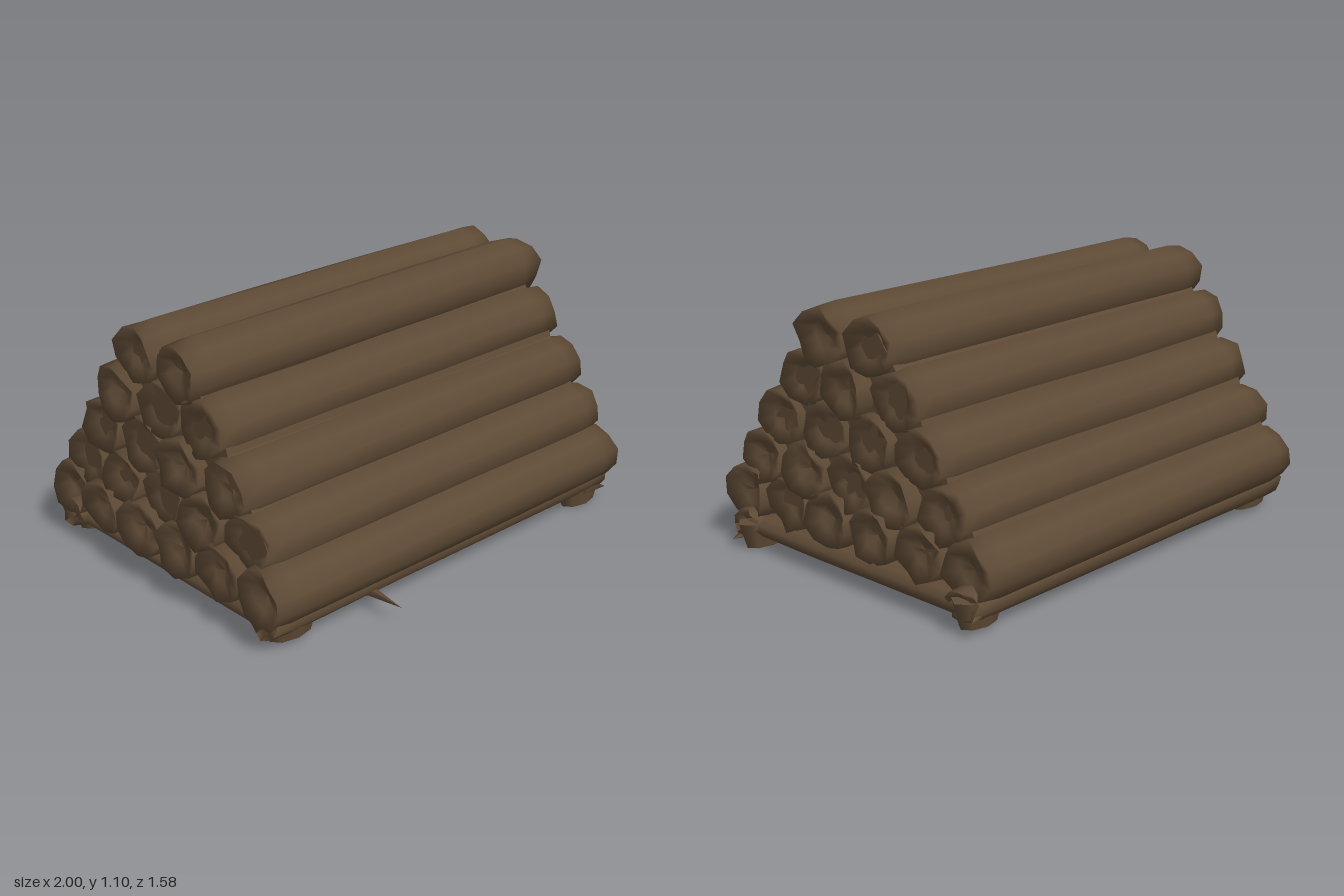
import * as THREE from 'three';

// Small seeded noise, so the bark is uneven but repeatable
let seed = 7;
const rand = () => (seed = (seed * 16807) % 2147483647) / 2147483647;
const jitter = (a) => (rand() * 2 - 1) * a;

const SIDES = 10;

// Rough timber along x from x0 to x1: uneven rings with hollowed, ragged ends
function timber(x0, x1, ry, rz, rough = 0.06, ragged = 0.02) {
  const L = x1 - x0;
  const rings = [ // [x, radius scale, ragged amount]
    [x0 + 0.05, 0, 0], [x0 + 0.035, 0.5, 0.7], [x0, 0.95, 1],
    [x0 + 0.09, 1, 0], [x0 + L * 0.35, 1, 0], [x0 + L * 0.68, 1, 0], [x1 - 0.09, 1, 0],
    [x1, 0.95, 1], [x1 - 0.035, 0.5, 0.7], [x1 - 0.05, 0, 0],
  ];
  // Bumps shared by all rings become lengthwise grooves
  const groove = Array.from({ length: SIDES }, () => 1 + jitter(rough * 0.6));
  const pos = [], index = [];
  rings.forEach(([x, s, r], i) => {
    for (let j = 0; j < SIDES; j++) {
      const a = (j / SIDES) * Math.PI * 2;
      const k = s * groove[j] * (1 + jitter(rough * 0.6));
      pos.push(x + jitter(ragged) * r, Math.cos(a) * ry * k, Math.sin(a) * rz * k);
      if (i < rings.length - 1) {
        const p = i * SIDES + j, q = i * SIDES + (j + 1) % SIDES;
        index.push(p, q, p + SIDES, q, q + SIDES, p + SIDES);
      }
    }
  });
  const g = new THREE.BufferGeometry();
  g.setAttribute('position', new THREE.Float32BufferAttribute(pos, 3));
  g.setIndex(index);
  g.computeVertexNormals();
  return g;
}

export function createModel() {
  const group = new THREE.Group();
  group.name = 'logPile';
  const wood = new THREE.MeshStandardMaterial({ color: 0x5e4a35 });
  wood.name = 'brown wood';

  const add = (name, geometry, x, y, z, turn = 0) => {
    const m = new THREE.Mesh(geometry, wood);
    m.name = name;
    m.position.set(x, y, z);
    m.rotation.y = turn;
    group.add(m);
    return m;
  };

  // Stacked logs: [count, row height, front z, back z]
  const rows = [
    [6, 0.235, 0.59, -0.66],
    [5, 0.41, 0.485, -0.53],
    [4, 0.595, 0.375, -0.405],
    [3, 0.78, 0.23, -0.275],
    [2, 0.97, 0.105, -0.15],
  ];
  rows.forEach(([n, y, front, back], r) => {
    for (let i = 0; i < n; i++) {
      const z = front + (back - front) * i / (n - 1);
      add(`logRow${r + 1}`, timber(-0.965 + jitter(0.02), 0.925 + jitter(0.015), 0.121, 0.129),
        0, y, z, jitter(0.006));
    }
  });

  // Packed core that closes the gaps between logs: stepped section as [z, y]
  const section = [
    [0.6, 0.22], [0.59, 0.34], [0.56, 0.42], [0.49, 0.52], [0.45, 0.6], [0.355, 0.71], [0.33, 0.78],
    [0.21, 0.89], [0.13, 1.02], [-0.02, 1.015], [-0.17, 1.02], [-0.26, 0.9], [-0.37, 0.8],
    [-0.4, 0.71], [-0.5, 0.6], [-0.53, 0.52], [-0.62, 0.42], [-0.66, 0.35], [-0.67, 0.22],
  ];
  const core = new THREE.ExtrudeGeometry(
    new THREE.Shape(section.map(([z, y]) => new THREE.Vector2(-z, y))),
    { depth: 1.8, bevelEnabled: false },
  );
  add('packedCore', core, -0.92, 0, 0, Math.PI / 2);

  // Ground frame: long runners under the outer logs
  add('frontRunner', timber(-0.95, 0.95, 0.06, 0.072), 0, 0.108, 0.575);
  add('backRunner', timber(-0.95, 0.95, 0.065, 0.08), 0, 0.11, -0.66);

  // Cross bearers along z
  const across = -Math.PI / 2;
  add('rightBearer', timber(-0.68, 0.6, 0.05, 0.075), 0.87, 0.092, 0, across);
  add('leftBearer', timber(-0.68, 0.6, 0.05, 0.075), -0.86, 0.09, 0, across);
  add('middleBearer', timber(-0.62, 0.62, 0.035, 0.055), -0.45, 0.09, 0, across);

  // Splinters at the frame corners
  const splinter = (name, r, len, x, y, z, dir) => {
    const m = add(name, new THREE.ConeGeometry(r, len, 5), x, y, z);
    m.quaternion.setFromUnitVectors(new THREE.Vector3(0, 1, 0), new THREE.Vector3(...dir).normalize());
  };
  splinter('bearerSplinter', 0.028, 0.21, -0.45, 0.075, 0.685, [0, 0, 1]);
  splinter('backSplinter', 0.05, 0.16, 0.92, 0.09, -0.71, [0.9, -0.1, -0.5]);
  splinter('frontSplinter', 0.06, 0.16, 0.92, 0.06, 0.6, [1, -0.3, 0.2]);

  // Worn feet under the corners: [name, x, base height, z, length]
  const feet = [
    ['frontLeftFoot', 0.86, 0, 0.57, 0.24],
    ['backLeftFoot', 0.86, 0.02, -0.655, 0.22],
    ['frontRightFoot', -0.82, 0.025, 0.57, 0.25],
    ['backRightFoot', -0.82, 0.025, -0.655, 0.25],
  ];
  feet.forEach(([name, x, y, z, w]) => {
    const m = add(name, new THREE.CylinderGeometry(0.55, 0.4, 0.11, 8), x, y + 0.055, z);
    m.scale.set(w, 1, 0.13);
  });

  return group;
}
